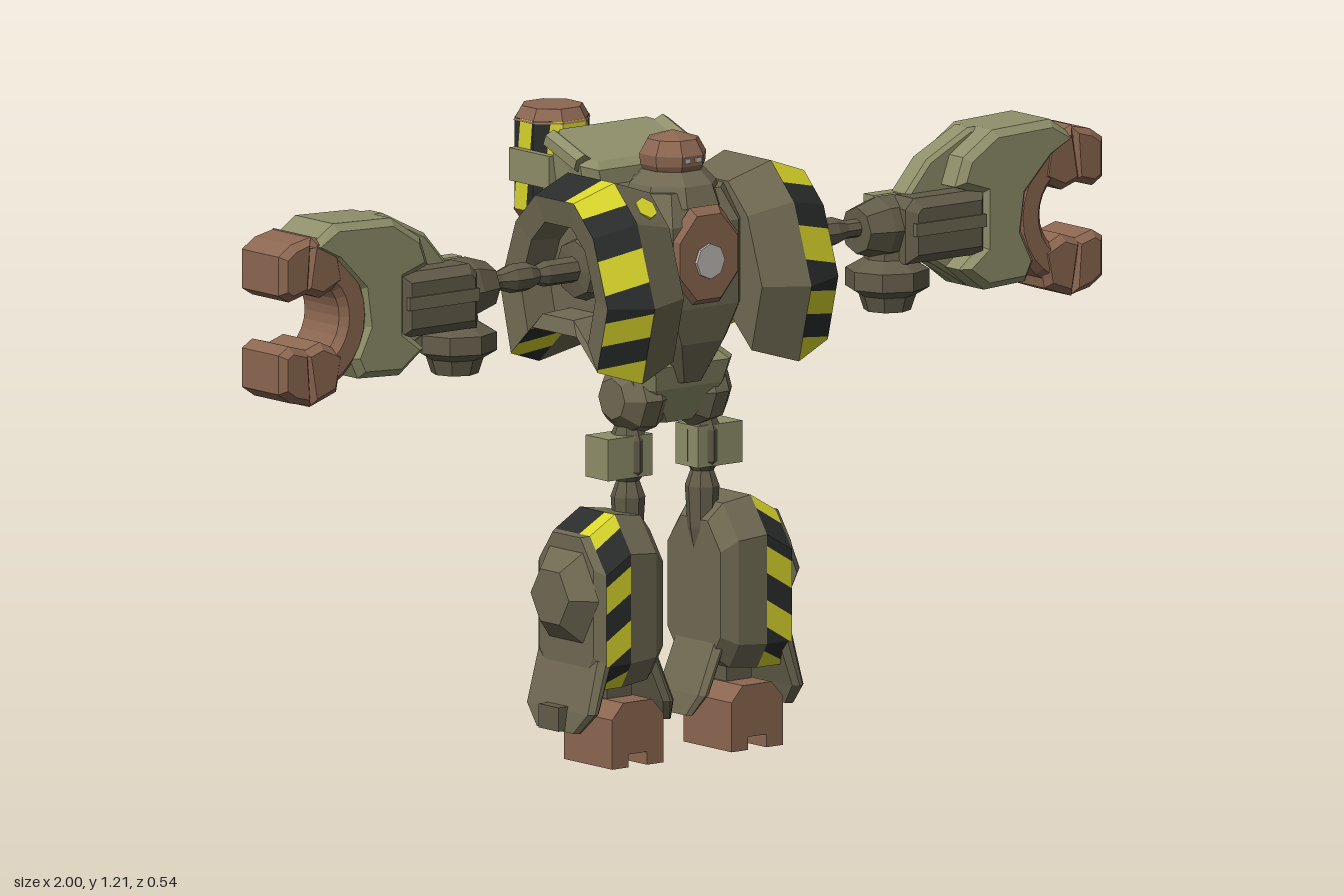
import * as THREE from 'three';

const mat = (name, color) => Object.assign(new THREE.MeshStandardMaterial({ color }), { name });
const olive = mat('olive armour', 0x6f6952), dark = mat('dark olive joints', 0x625c49);
const light = mat('light olive armour', 0x8f8f6a), brown = mat('brown armour', 0x8c6751);
const yellow = mat('hazard yellow', 0xd9d62b), black = mat('hazard black', 0x2b2d2d), grey = mat('pale grey', 0xbdb9b6);

const fromTriangles = (pos) => new THREE.BufferGeometry().setAttribute('position', new THREE.Float32BufferAttribute(pos, 3));

// Faceted copy of a solid whose faces all point outwards, optionally mirrored in x
function faceted(source, sx = 1) {
  const g = source.index ? source.toNonIndexed() : source;
  const p = Array.from(g.attributes.position.array, (v, i) => (i % 3 ? v : v * sx));
  const c = new THREE.Box3().setFromArray(p).getCenter(new THREE.Vector3());
  const v = (i) => new THREE.Vector3().fromArray(p, i);
  let volume = 0;
  for (let i = 0; i < p.length; i += 9) volume += v(i).sub(c).dot(v(i + 3).sub(c).cross(v(i + 6).sub(c)));
  if (volume < 0) for (let i = 0; i < p.length; i += 9)
    for (let k = 3; k < 6; k++) [p[i + k], p[i + k + 3]] = [p[i + k + 3], p[i + k]];
  const out = fromTriangles(p);
  out.computeVertexNormals();
  return out;
}

// Skin over closed cross-sections, with optional end caps
function loft(sections, caps = true) {
  const pos = [], n = sections[0].length;
  for (let s = 0; s + 1 < sections.length; s++) for (let i = 0; i < n; i++) {
    const j = (i + 1) % n, [a, b, c, d] = [sections[s][i], sections[s][j], sections[s + 1][j], sections[s + 1][i]];
    pos.push(...a, ...b, ...c, ...a, ...c, ...d);
  }
  if (caps) [sections[0], sections.at(-1)].forEach((loop, end) => {
    const mid = [0, 1, 2].map((k) => loop.reduce((t, p) => t + p[k], 0) / n);
    loop.forEach((p, i) => {
      const q = loop[(i + 1) % n];
      pos.push(...mid, ...(end ? [...p, ...q] : [...q, ...p]));
    });
  });
  return fromTriangles(pos);
}

// Cut every triangle into alternating bands, where w(point) counts the bands
function stripe(geo, w) {
  const p = geo.attributes.position.array, out = [[], []];
  const clip = (poly, level, sign) => poly.flatMap((a, i) => {
    const b = poly[(i + 1) % poly.length], da = sign * (w(a) - level), db = sign * (w(b) - level);
    const keep = da >= 0 ? [a] : [];
    if (da * db < 0) keep.push(a.clone().lerp(b, da / (da - db)));
    return keep;
  });
  for (let i = 0; i < p.length; i += 9) {
    const tri = [0, 3, 6].map((k) => new THREE.Vector3().fromArray(p, i + k)), ws = tri.map(w);
    for (let k = Math.floor(Math.min(...ws)); k < Math.max(...ws); k++) {
      const poly = clip(clip(tri, k, 1), k + 1, -1);
      for (let f = 1; f + 1 < poly.length; f++)
        for (const q of [poly[0], poly[f], poly[f + 1]]) out[Math.abs(k % 2)].push(q.x, q.y, q.z);
    }
  }
  const g = fromTriangles(out.flat());
  g.addGroup(0, out[0].length / 3, 0);
  g.addGroup(out[0].length / 3, out[1].length / 3, 1);
  g.computeVertexNormals();
  return g;
}

const lathe = (points, sides = 8) => new THREE.LatheGeometry(points.map((p) => new THREE.Vector2(...p)), sides);
const box = (x0, x1, y0, y1, z0, z1) =>
  new THREE.BoxGeometry(x1 - x0, y1 - y0, z1 - z0).translate((x0 + x1) / 2, (y0 + y1) / 2, (z0 + z1) / 2);
const outline = (points) => new THREE.Shape(points.map((p) => new THREE.Vector2(...p)));
// Shape in x and y, thickened from z0 to z1 with a chamfer
const plate = (shape, z0, z1, bevel) => new THREE.ExtrudeGeometry(shape, {
  depth: z1 - z0 - 2 * bevel, bevelEnabled: bevel > 0, bevelThickness: bevel, bevelSize: bevel,
  bevelOffset: -bevel, bevelSegments: 1, curveSegments: 5,
}).translate(0, 0, z0 + bevel);
// Profile in z and y, scaled about its centre and set at x
const at = (profile, cz, cy, x, s) => profile.map(([z, y]) => [x, cy + (y - cy) * s, cz + (z - cz) * s]);
// Chamfered rectangle at height y
function slab(y, x0, x1, z0, z1, c, rise = 0) {
  const pts = [[x0 + c, z0], [x1 - c, z0], [x1, z0 + c], [x1, z1 - c], [x1 - c, z1], [x0 + c, z1], [x0, z1 - c], [x0, z0 + c]];
  return pts.map(([x, z]) => [x, y + rise * (z1 - z) / (z1 - z0), z]);
}

export function createModel() {
  const model = new THREE.Group();
  const add = (name, geo, material, sx = 1) => {
    const m = new THREE.Mesh(faceted(geo, sx), material);
    m.name = name;
    model.add(m);
  };
  const both = (name, geo, material) => {
    add(name + 'Left', geo, material);
    add(name + 'Right', geo, material, -1);
  };
  const hazard = (name, geo, w, sx = 1) => {
    const m = new THREE.Mesh(stripe(faceted(geo, sx), w), [yellow, black]);
    m.name = name;
    model.add(m);
  };
  const hazardBoth = (name, geo, w) => {
    hazard(name + 'Left', geo, w);
    hazard(name + 'Right', geo, w, -1);
  };

  // Torso and chest plate
  add('torso', loft([
    slab(0.72, -0.035, 0.035, 0.02, 0.15, 0.015), slab(0.8, -0.085, 0.085, -0.02, 0.18, 0.035),
    slab(0.87, -0.125, 0.125, -0.04, 0.19, 0.045), slab(1.03, -0.125, 0.125, -0.04, 0.19, 0.045),
    slab(1.09, -0.1, 0.1, -0.02, 0.16, 0.04)]), olive);
  add('chestPlate', new THREE.CylinderGeometry(0.076, 0.09, 0.016, 8).rotateY(Math.PI / 8).rotateX(Math.PI / 2)
    .scale(1, 1.15, 1).translate(0, 0.968, 0.192), brown);
  add('chestLamp', new THREE.CylinderGeometry(0.034, 0.034, 0.006, 8).rotateX(Math.PI / 2).translate(0, 0.96, 0.203), grey);

  // Head and collar
  add('collar', lathe([[0, 1.05], [0.1, 1.06], [0.085, 1.1], [0.06, 1.125], [0, 1.125]]).rotateY(Math.PI / 8).translate(0, 0, 0.09), olive);
  add('head', lathe([[0, 1.1], [0.045, 1.1], [0.064, 1.135], [0.066, 1.155], [0.05, 1.183], [0, 1.198]]).rotateY(Math.PI / 8).translate(0, 0, 0.09), brown);
  both('eye', box(0.006, 0.02, 1.142, 1.151, 0.146, 0.153), grey);

  // Backpack with side rails
  add('backpack', loft([
    slab(0.79, -0.05, 0.05, -0.06, 0.01, 0.015), slab(0.92, -0.095, 0.095, -0.12, 0.01, 0.025),
    slab(1.08, -0.13, 0.13, -0.125, 0.01, 0.025), slab(1.12, -0.14, 0.14, -0.125, 0.01, 0.025, 0.04),
    slab(1.135, -0.125, 0.125, -0.12, -0.005, 0.02, 0.045)]), light);
  both('backpackRail', new THREE.CylinderGeometry(0.02, 0.02, 0.1, 6).rotateX(Math.PI / 2 + 0.36).translate(0.132, 1.148, -0.065), light);

  // Striped canister held by two prongs
  const can = (pts) => lathe(pts).rotateY(Math.PI / 8).translate(-0.06, 0, -0.2);
  hazard('canister', can([[0, 1.015], [0.074, 1.015], [0.074, 1.19], [0, 1.19]]),
    (p) => Math.abs(Math.atan2(p.x + 0.06, p.z + 0.2)) / 0.5 + 3 * p.y);
  add('canisterTop', can([[0, 1.185], [0.076, 1.185], [0.06, 1.212], [0, 1.212]]), brown);
  add('canisterBottom', can([[0, 0.992], [0.06, 0.992], [0.076, 1.015], [0, 1.015]]), brown);
  for (const x of [-0.147, 0.014]) add('canisterProng', box(x, x + 0.016, 1.072, 1.135, -0.222, -0.1), light);

  // Shoulder pods: plain inner band, striped outer band, recessed socket
  const pod = [[0.235, 0.75], [0.273, 0.9], [0.22, 1.055], [0.15, 1.125], [0.01, 1.125],
    [-0.06, 1.055], [-0.115, 0.9], [-0.077, 0.75], [0, 0.82], [0.16, 0.82]];
  const podAt = (x, s) => at(pod, 0.08, 0.93, x, s);
  both('shoulderInner', loft([podAt(0.095, 0.84), podAt(0.19, 1)]), olive);
  hazardBoth('shoulderStripes', loft([podAt(0.19, 1), podAt(0.28, 0.84)], false),
    (p) => (p.y + 0.35 * Math.abs(p.x) + 0.5 * p.z) / 0.052);
  both('shoulderSocket', loft([podAt(0.19, 0.82), podAt(0.279, 0.838), podAt(0.27, 0.58), podAt(0.205, 0.54)]), olive);
  add('shoulderBadge', new THREE.CylinderGeometry(0.024, 0.024, 0.008, 6).rotateX(0.82).rotateZ(-0.12).translate(-0.14, 1.074, 0.182), yellow);

  // Arm rods
  const alongX = (pts, y, z) => lathe(pts).rotateZ(-Math.PI / 2).translate(0, y, z);
  both('armRod', alongX([[0, 0.2], [0.065, 0.2], [0.055, 0.235], [0.025, 0.24], [0.025, 0.31], [0.018, 0.33], [0.028, 0.355],
    [0.028, 0.39], [0.018, 0.42], [0.018, 0.45], [0.035, 0.46], [0.035, 0.5], [0, 0.5]], 0.955, 0.085), dark);

  // Forearm block with a fin running back from the gauntlet, and elbow knob
  both('wrist', alongX([[0, 0.45], [0.045, 0.45], [0.06, 0.5], [0.06, 0.56], [0, 0.56]], 0.95, 0.085), dark);
  both('forearm', plate(outline([[0.52, 0.885], [0.71, 0.885], [0.71, 1.01], [0.54, 1.01], [0.52, 0.99]]), 0.075, 0.164, 0.018), dark);
  both('forearmSlat', box(0.53, 0.7, 0.94, 0.965, 0.158, 0.168), olive);
  both('forearmBack', plate(outline([[0.5, 0.89], [0.71, 0.89], [0.71, 1.01], [0.5, 1.01]]), 0.03, 0.09, 0.015), light);
  both('gauntletFin', plate(outline([[0.54, 0.99], [0.61, 1.07], [0.71, 1.12], [0.8, 1.12], [0.78, 0.82], [0.71, 0.815],
    [0.62, 0.87], [0.54, 0.9]]), 0.05, 0.105, 0.008), light);
  both('gauntlet', plate(outline([[0.64, 1.02], [0.66, 1.075], [0.73, 1.12], [0.87, 1.125], [0.93, 1.085], [0.87, 1.05], [0.81, 0.99],
    [0.8, 0.92], [0.83, 0.86], [0.81, 0.82], [0.71, 0.815], [0.65, 0.86], [0.7, 0.9], [0.7, 1.0]]), 0.018, 0.16, 0.014), light);
  both('elbowKnob', lathe([[0, 0.79], [0.045, 0.79], [0.055, 0.82], [0.08, 0.835], [0.08, 0.87], [0.045, 0.89], [0.04, 0.93], [0, 0.93]])
    .translate(0.525, 0, 0.085), dark);

  // Claw: curved palm with a two-jointed finger above and below
  const palm = new THREE.Shape();
  palm.absarc(0.93, 0.943, 0.145, Math.PI * 0.64, Math.PI * 1.36, false);
  palm.absarc(0.93, 0.943, 0.08, Math.PI * 1.36, Math.PI * 0.64, true);
  both('palm', plate(palm, 0.022, 0.154, 0.014), brown);
  const joints = [[[0.845, 1.01], [0.86, 1.085], [0.925, 1.107], [0.945, 1.0], [0.9, 0.985]],
    [[0.922, 1.105], [0.928, 0.998], [0.975, 0.985], [1, 1], [1, 1.075], [0.97, 1.095]]];
  for (const joint of joints) {
    both('upperFinger', plate(outline(joint), 0.02, 0.156, 0.013), brown);
    both('lowerFinger', plate(outline(joint.map(([x, y]) => [x, 1.885 - y])), 0.02, 0.156, 0.013), brown);
  }

  // Pelvis and hips
  add('pelvis', loft([slab(0.64, -0.045, 0.045, 0.02, 0.11, 0.015), slab(0.71, -0.11, 0.11, 0, 0.14, 0.03),
    slab(0.755, -0.12, 0.12, 0, 0.15, 0.03), slab(0.8, -0.07, 0.07, -0.01, 0.12, 0.03)]), light);
  both('hip', alongX([[0, 0.04], [0.06, 0.04], [0.075, 0.065], [0.07, 0.1], [0.04, 0.13], [0, 0.13]], 0.69, 0.067), olive);

  // Thigh rods and knee blocks
  both('thighRod', lathe([[0, 0.36], [0.018, 0.37], [0.028, 0.42], [0.033, 0.5], [0.022, 0.53], [0.036, 0.55], [0.036, 0.61],
    [0.024, 0.64], [0.04, 0.67], [0, 0.68]]).translate(0.09, 0, 0.067), dark);
  both('kneeBlock', box(0.055, 0.163, 0.54, 0.62, 0.03, 0.098), light);

  // Lower legs: plain shell, striped outer bevel, side boss
  const shin = [[0.12, 0.48], [0.17, 0.41], [0.17, 0.2], [0.14, 0.15], [0, 0.15], [-0.035, 0.2], [-0.035, 0.41], [0.015, 0.48]];
  const shinAt = (x, s) => at(shin, 0.067, 0.29, x, s);
  const shinRim = shin.map(([z, y]) => [0.225, y > 0.3 ? y - 0.035 : y, z]);
  both('shinShell', loft([shinAt(0.07, 0.78), shinAt(0.1, 0.95), shinAt(0.165, 1)]), olive);
  hazardBoth('shinStripes', loft([shinAt(0.165, 1), shinRim], false), (p) => (p.y + 0.6 * Math.abs(p.x) + 0.5 * p.z) / 0.052);
  both('shinOuter', loft([shinAt(0.2, 0.85), shinRim, shinAt(0.24, 0.8)]), olive);
  both('shinBoss', new THREE.CylinderGeometry(0.058, 0.1, 0.04, 6).rotateZ(-Math.PI / 2).translate(0.26, 0.327, 0.067), olive);

  // Flared ankle guards with buckles
  both('outerAnkleGuard', loft([slab(0.07, 0.247, 0.268, 0.005, 0.13, 0.008), slab(0.11, 0.235, 0.262, -0.034, 0.169, 0.01),
    slab(0.21, 0.2, 0.236, -0.034, 0.169, 0.012)]), olive);
  both('innerAnkleGuard', loft([slab(0.07, 0.018, 0.036, 0.02, 0.115, 0.008), slab(0.11, 0.03, 0.056, 0, 0.14, 0.01),
    slab(0.21, 0.072, 0.1, 0, 0.14, 0.012)]), olive);
  both('ankleBuckle', box(0.255, 0.283, 0.072, 0.118, 0.037, 0.097), dark);

  // Feet with a slot along the sole
  both('foot', plate(outline([[-0.062, 0], [-0.062, 0.095], [-0.035, 0.125], [0.035, 0.125], [0.062, 0.095], [0.062, 0],
    [0.022, 0], [0.022, 0.025], [-0.022, 0.025], [-0.022, 0]]), 0.02, 0.165, 0).translate(0.145, 0, 0), brown);
  both('ankle', box(0.115, 0.175, 0.12, 0.2, 0.03, 0.11), dark);

  return model;
}
